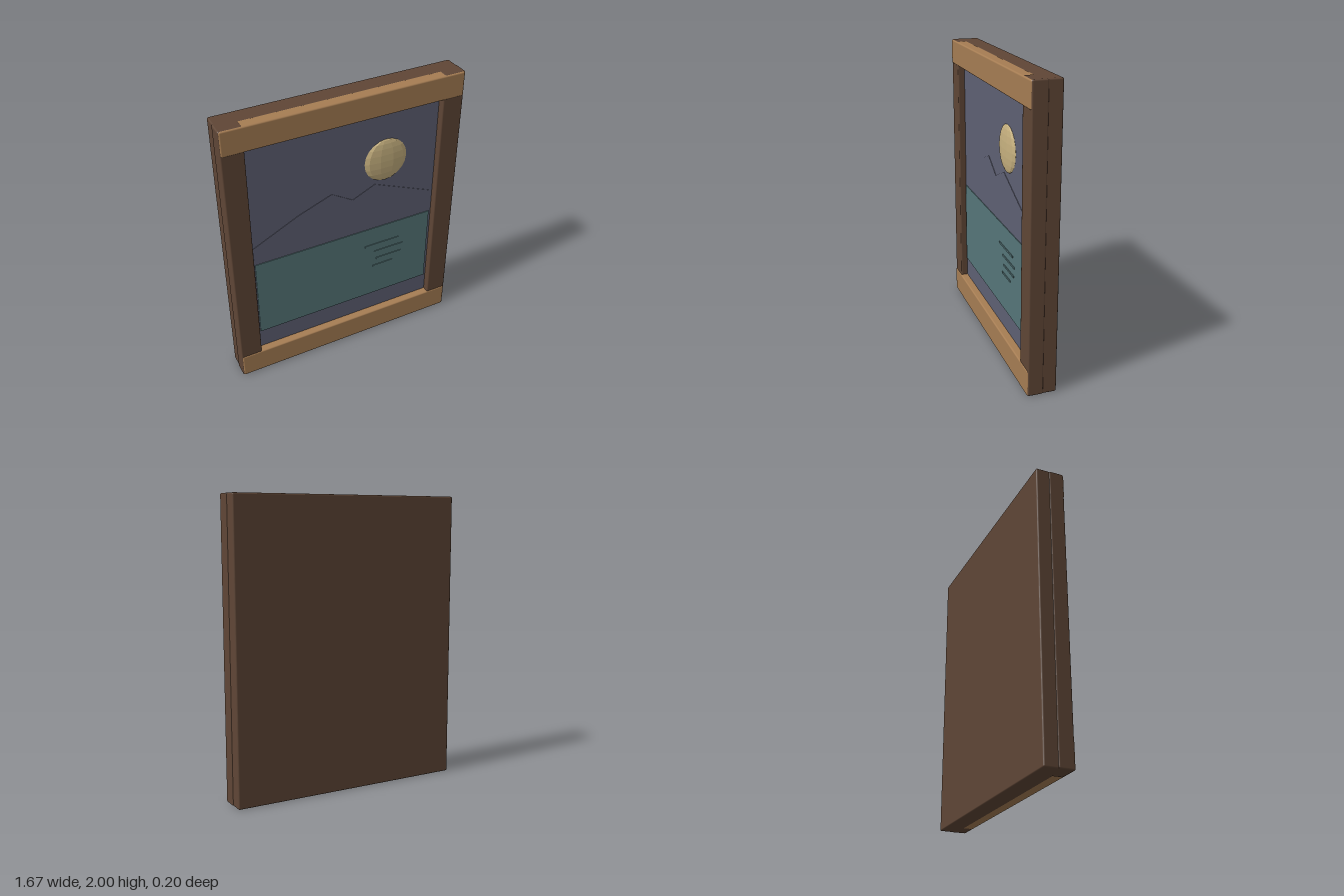
import * as THREE from 'three';
import { RoundedBoxGeometry } from 'three/addons/geometries/RoundedBoxGeometry.js';

const flat = (name, color, extra = {}) => {
  const m = new THREE.MeshStandardMaterial({ color, ...extra });
  m.name = name;
  return m;
};

export function createModel() {
  const darkWood = flat('dark wood', 0x5f4636);
  const lightWood = flat('light wood', 0xa67d53);
  const dusk = flat('dusk sky', 0x5e6073);
  const water = flat('water', 0x567679);
  const moonlight = flat('moonlight', 0xc8b280, { flatShading: true });

  const group = new THREE.Group();
  group.name = 'framedPicture';

  const add = (name, geometry, material, x = 0, y = 0, z = 0) => {
    const mesh = new THREE.Mesh(geometry, material);
    mesh.name = name;
    mesh.position.set(x, y, z);
    group.add(mesh);
    return mesh;
  };
  // Softened timber filling the given depth range
  const timber = (name, w, h, z0, z1, material, x, y) =>
    add(name, new RoundedBoxGeometry(w, h, z1 - z0, 2, 0.01), material, x, y, (z0 + z1) / 2);

  // Frame: backing, side stiles, and rails laid across their fronts
  timber('backing', 1.66, 2, -0.1, 0.03, darkWood, 0, 1);
  for (const [side, s] of [['left', 1], ['right', -1]])
    timber(side + 'Stile', 0.152, 2, -0.01, 0.093, darkWood, s * 0.759, 1);
  timber('topRail', 1.66, 0.17, -0.005, 0.098, lightWood, 0, 1.913);
  timber('bottomRail', 1.66, 0.175, -0.005, 0.098, lightWood, 0, 0.0895);

  // Picture: sky panel, hills and water as thin layers
  add('sky', new THREE.BoxGeometry(1.38, 1.68, 0.02), dusk, 0, 1, 0.035);

  const ridge = [[-0.67, 0.9], [0.67, 0.9], [0.67, 1.1], [0.22, 1.29], [0.055, 1.215],
    [-0.1, 1.31], [-0.34, 1.22], [-0.67, 1.06]];
  const hills = new THREE.Shape(ridge.map(([x, y]) => new THREE.Vector2(x, y)));
  add('hills', new THREE.ExtrudeGeometry(hills, { depth: 0.003, bevelEnabled: false }), dusk, 0, 0, 0.045);

  add('water', new THREE.BoxGeometry(1.33, 0.6, 0.008), water, 0, 0.625, 0.049);

  // Ripples below the moon
  [[0.287, 0.778, 0.27], [0.342, 0.712, 0.235], [0.345, 0.647, 0.2], [0.298, 0.584, 0.16]]
    .forEach(([x, y, w], i) =>
      add('ripple' + (i + 1), new THREE.BoxGeometry(w, 0.013, 0.006), water, x, y, 0.055));

  // Moon: flattened faceted ball
  add('moon', new THREE.SphereGeometry(0.157, 10, 10), moonlight, 0.295, 1.465, 0.048)
    .scale.z = 0.15;

  return group;
}
